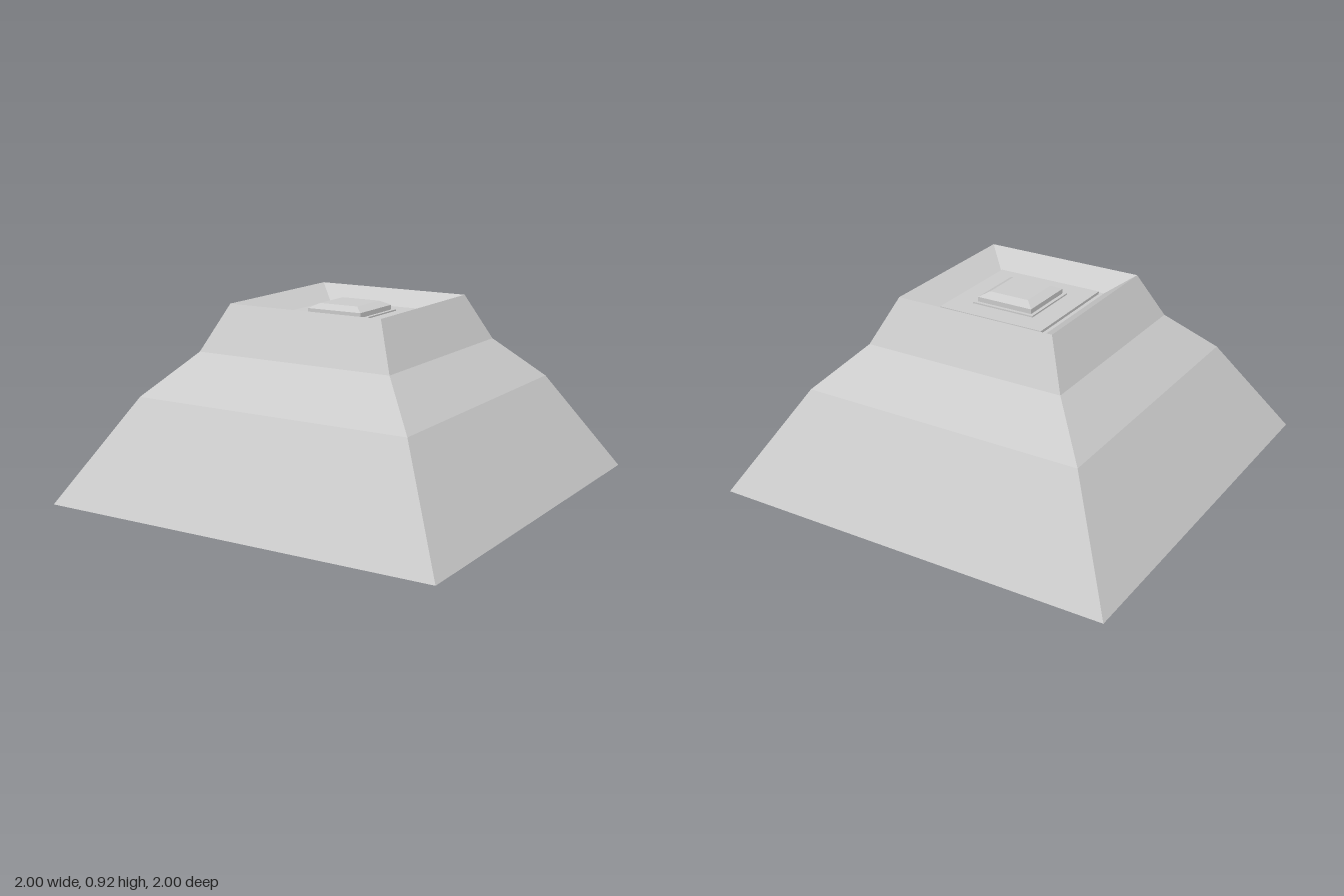
import * as THREE from 'three';

const material = new THREE.MeshStandardMaterial({ color: 0xcccccc, flatShading: true });

// Square-plan solid swept from a profile of [half width, height] points.
function squareLoft(name, profile) {
  const points = profile.map(([half, y]) => new THREE.Vector2(half * Math.SQRT2, y));
  const geometry = new THREE.LatheGeometry(points, 4, Math.PI / 4).toNonIndexed();
  geometry.computeVertexNormals();
  const mesh = new THREE.Mesh(geometry, material);
  mesh.name = name;
  return mesh;
}

export function createModel() {
  const model = new THREE.Group();
  model.name = 'steppedMound';

  // Shallow underside, three-stage outer slopes, rim, sloped crater and its floor
  model.add(squareLoft('moundWithCrater', [
    [0, 0], [0.81, 0], [0.9, 0.004], [1, 0.01],
    [0.707, 0.5], [0.507, 0.7], [0.403, 0.92],
    [0.288, 0.842], [0, 0.842],
  ]));

  // Raised slab on the crater floor
  model.add(squareLoft('craterSlab', [[0.27, 0.842], [0.27, 0.855], [0, 0.855]]));

  // Thin plinth carrying the central block
  model.add(squareLoft('plinth', [[0.16, 0.855], [0.16, 0.862], [0, 0.862]]));

  // Central block with bevelled top
  model.add(squareLoft('centralBlock', [[0.143, 0.862], [0.143, 0.885], [0.102, 0.907], [0, 0.907]]));

  return model;
}
